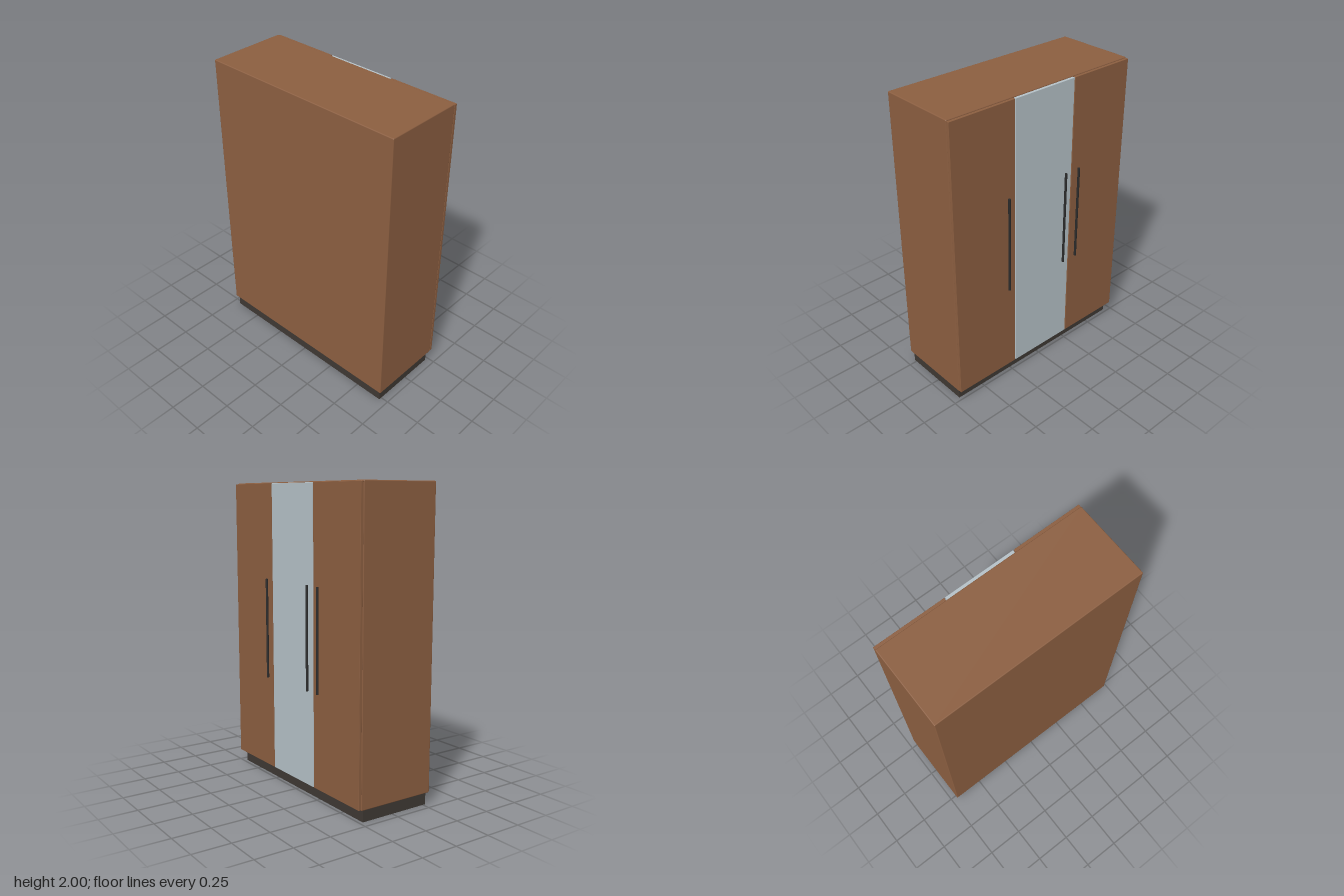
import * as THREE from 'three';
import { RoundedBoxGeometry } from 'three/addons/geometries/RoundedBoxGeometry.js';

const paint = (color) => new THREE.MeshStandardMaterial({ color });

export function createModel() {
  const model = new THREE.Group();
  model.name = 'wardrobe';
  const wood = paint(0x8b5e40);
  const mirror = paint(0xb4c0c6);
  const plinthDark = paint(0x3e3833);
  const metal = paint(0x2a2a2a);

  const add = (name, geometry, material, x, y, z) => {
    const mesh = new THREE.Mesh(geometry, material);
    mesh.name = name;
    mesh.position.set(x, y, z);
    model.add(mesh);
    return mesh;
  };

  // Recessed base and the softly rounded carcass above it
  add('plinth', new THREE.BoxGeometry(1.39, 0.08, 0.495), plinthDark, 0, 0.04, 0.022);
  add('carcass', new RoundedBoxGeometry(1.424, 1.92, 0.535, 2, 0.006), wood, 0, 1.04, 0.0185);

  // Three doors on the -z side, the middle one mirrored, each with a bar handle
  const doors = [
    { name: 'rightDoor', x: -0.476, handleX: -0.297, material: wood },
    { name: 'mirrorDoor', x: 0, handleX: -0.182, material: mirror },
    { name: 'leftDoor', x: 0.476, handleX: 0.294, material: wood },
  ];
  for (const { name, x, handleX, material } of doors) {
    add(name, new RoundedBoxGeometry(0.47, 1.908, 0.019, 2, 0.002), material, x, 1.04, -0.2595);
    add(name + 'Handle', new THREE.CylinderGeometry(0.008, 0.008, 0.667, 16), metal, handleX, 1.04, -0.278);
  }

  return model;
}
